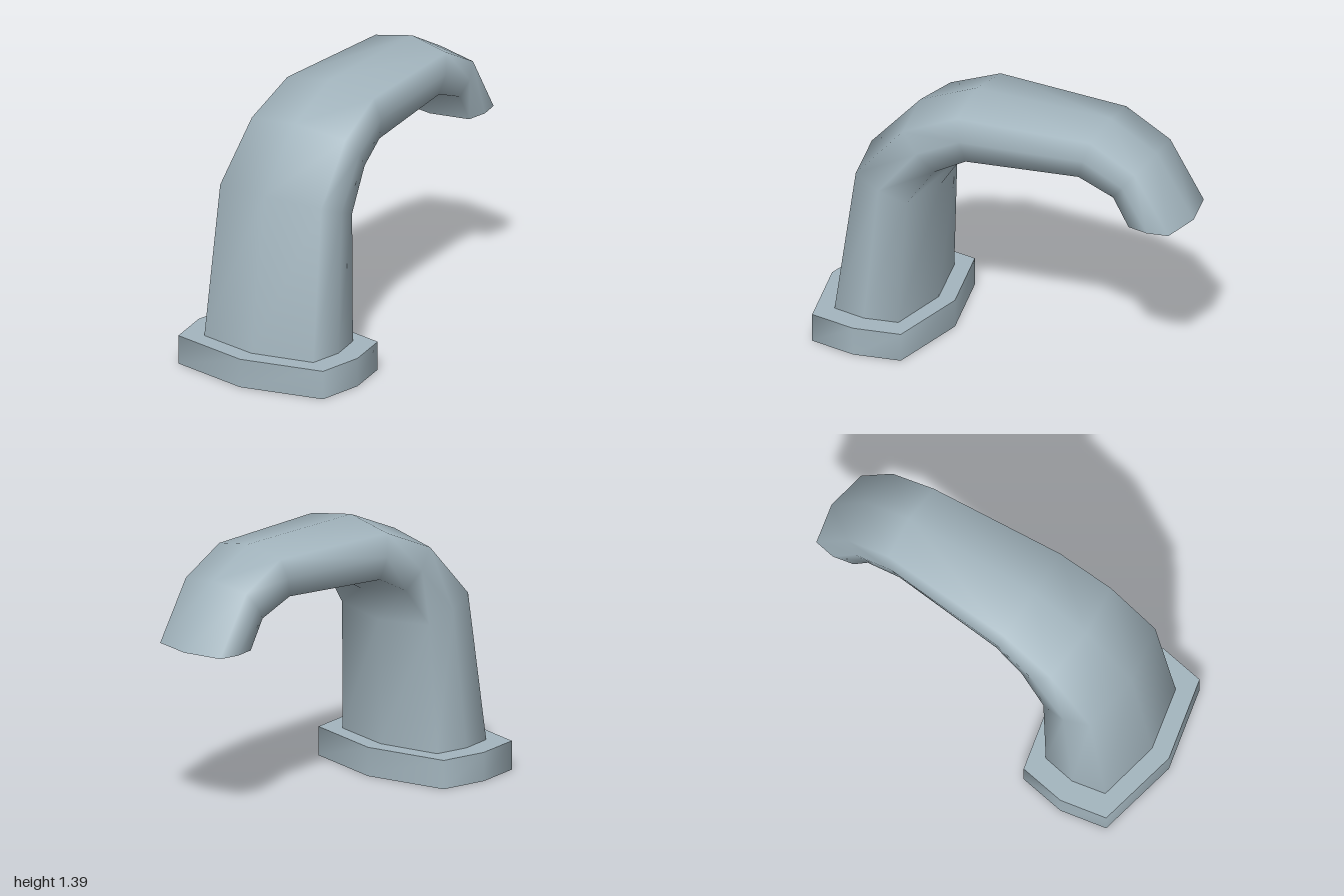
import * as THREE from 'three';

// Eight-sided section between an outer and an inner centre-line point [z, y]
function ring(outer, inner, w) {
  const across = [0, 0.14, 0.5, 0.86, 1, 0.86, 0.5, 0.14];
  const side = [0, 0.91, 1, 0.91, 0, -0.91, -1, -0.91];
  return across.map((t, i) => new THREE.Vector3(
    side[i] * w,
    THREE.MathUtils.lerp(outer[1], inner[1], t),
    THREE.MathUtils.lerp(outer[0], inner[0], t)));
}

// Smooth open skin through successive rings
function loft(rings) {
  const n = rings[0].length, index = [];
  for (let r = 0; r < rings.length - 1; r++) {
    for (let i = 0; i < n; i++) {
      const a = r * n + i, b = r * n + (i + 1) % n;
      index.push(a, b, b + n, a, b + n, a + n);
    }
  }
  const geo = new THREE.BufferGeometry().setFromPoints(rings.flat());
  geo.setIndex(index);
  geo.computeVertexNormals();
  return geo;
}

export function createModel() {
  const group = new THREE.Group();
  group.name = 'faucetSpout';
  const metal = new THREE.MeshStandardMaterial({ color: 0xa3b5be, side: THREE.DoubleSide });
  metal.name = 'blueGreyMetal';
  const add = (name, geo) => {
    const mesh = new THREE.Mesh(geo, metal);
    mesh.name = name;
    group.add(mesh);
    return mesh;
  };

  // Curved spout, open at the tip: outer point, inner point, half width
  add('spout', loft([
    [[0.9, 0.15], [0.41, 0.15], 0.362],
    [[0.78, 0.955], [0.395, 0.8], 0.335],
    [[0.51, 1.255], [0.27, 0.99], 0.31],
    [[0.2, 1.392], [0.13, 1.07], 0.287],
    [[-0.54, 1.39], [-0.45, 1.105], 0.235],
    [[-0.795, 1.25], [-0.63, 1.04], 0.231],
    [[-1, 0.92], [-0.695, 0.92], 0.23],
  ].map(s => ring(...s))));

  // Base flange: hollow underneath, with a flat top plate
  const flange = y => ring([1, y], [0.32, y], 0.48);
  add('flangeWall', loft([flange(0), flange(0.15)]));
  const outline = new THREE.Shape(flange(0).map(p => new THREE.Vector2(p.x, -p.z)));
  const top = add('flangeTop', new THREE.ShapeGeometry(outline).rotateX(-Math.PI / 2));
  top.position.y = 0.15;

  return group;
}
